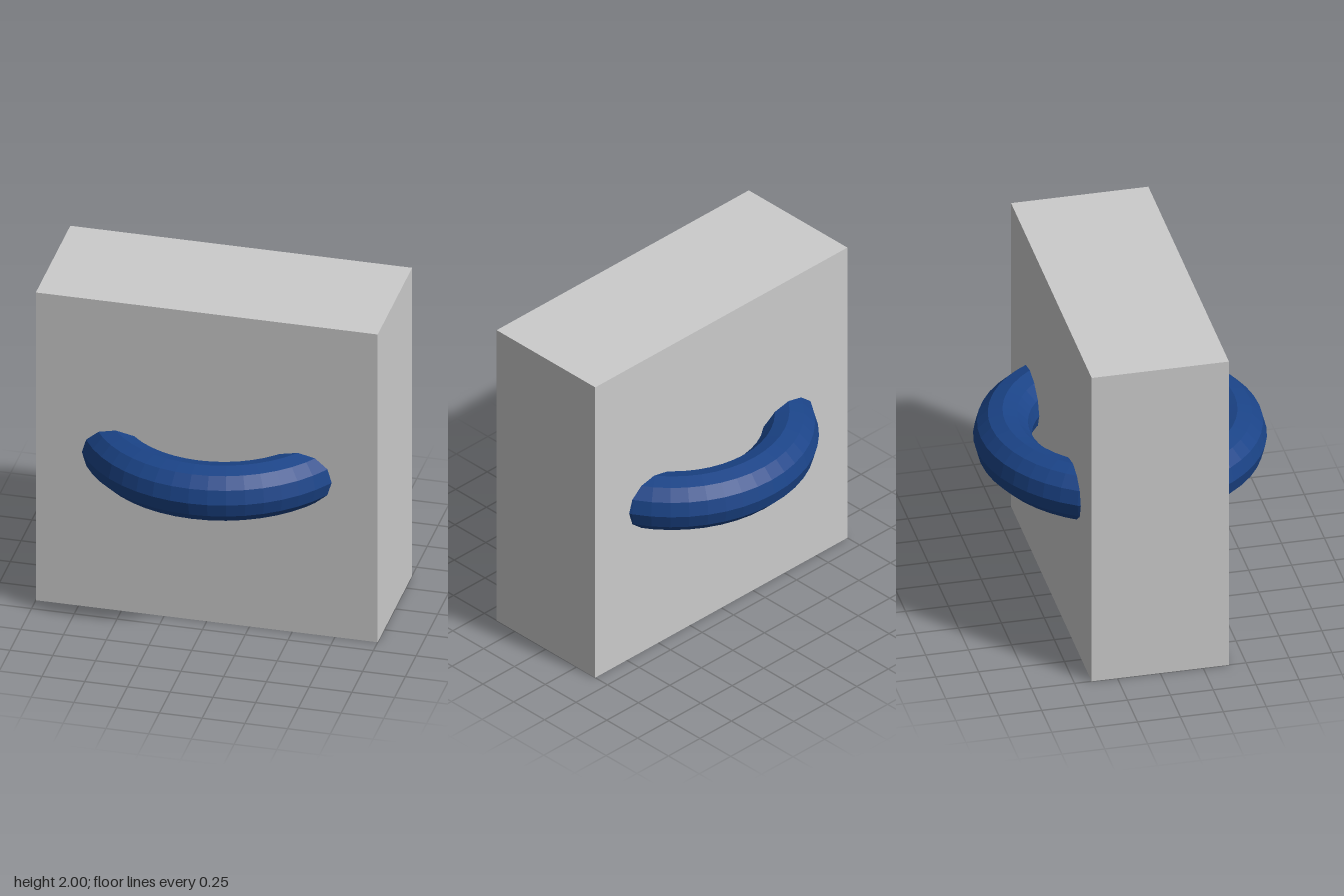
import * as THREE from 'three';

export function createModel() {
  const model = new THREE.Group();

  // Upright slab standing on the ground
  const slab = new THREE.Mesh(
    new THREE.BoxGeometry(2, 2, 0.8),
    new THREE.MeshStandardMaterial({ color: 0xcccccc })
  );
  slab.name = 'slab';
  slab.position.y = 1;
  model.add(slab);

  // Faceted horizontal ring passing through the slab, forming a handle on each side
  const ring = new THREE.Mesh(
    new THREE.TorusGeometry(0.667, 0.167, 12, 48).rotateX(Math.PI / 2),
    new THREE.MeshStandardMaterial({ color: 0x1b4488, flatShading: true })
  );
  ring.name = 'handleRing';
  ring.position.y = 1;
  model.add(ring);

  return model;
}
